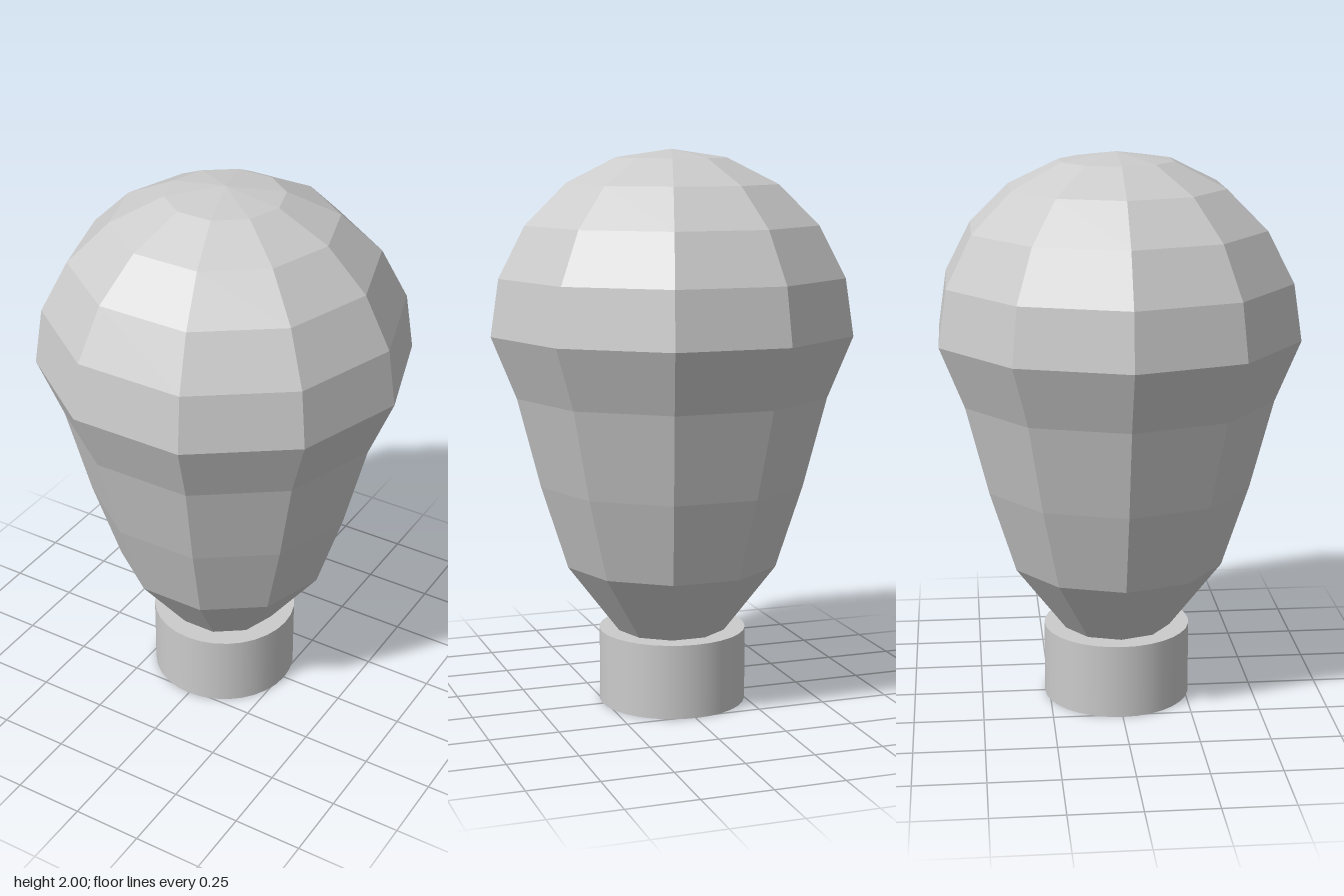
import * as THREE from 'three';

export function createModel() {
  const group = new THREE.Group();
  group.name = 'lightBulb';

  // Faceted ten-sided glass bulb, profile from neck to crown
  const profile = [
    [0.2, 0.27], [0.39, 0.52], [0.487, 0.82], [0.57, 1.14], [0.66, 1.36],
    [0.63, 1.56], [0.535, 1.74], [0.39, 1.88], [0.205, 1.97], [0, 2],
  ].map(([r, y]) => new THREE.Vector2(r, y));
  const glass = new THREE.Mesh(
    new THREE.LatheGeometry(profile, 10, Math.PI / 2),
    new THREE.MeshStandardMaterial({ color: 0xcccccc, flatShading: true })
  );
  glass.name = 'glassBulb';
  group.add(glass);

  // Smooth round socket base
  const base = new THREE.Mesh(
    new THREE.CylinderGeometry(0.267, 0.267, 0.27, 32),
    new THREE.MeshStandardMaterial({ color: 0xcccccc })
  );
  base.name = 'socketBase';
  base.position.set(-0.003, 0.135, 0);
  group.add(base);

  return group;
}
